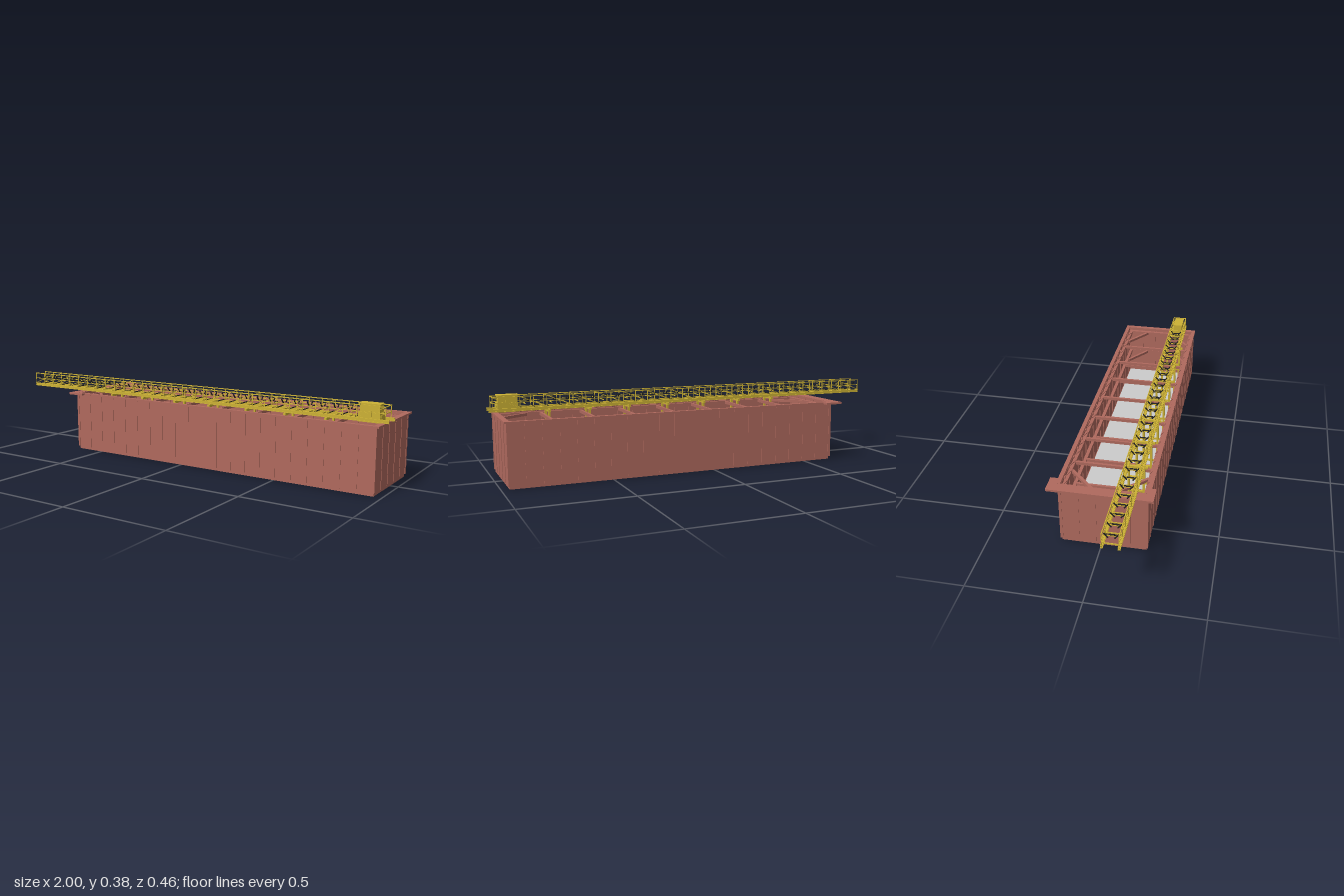
import * as THREE from 'three';

const steel = new THREE.MeshStandardMaterial({ color: 0xb06a5e });
const yellow = new THREE.MeshStandardMaterial({ color: 0xcdb235 });
const black = new THREE.MeshStandardMaterial({ color: 0x222222 });
const grey = new THREE.MeshStandardMaterial({ color: 0xcccccc });

// Box given by its limits on each axis
function box(parent, name, mat, x0, x1, y0, y1, z0, z1) {
  const m = new THREE.Mesh(new THREE.BoxGeometry(x1 - x0, y1 - y0, z1 - z0), mat);
  m.position.set((x0 + x1) / 2, (y0 + y1) / 2, (z0 + z1) / 2);
  m.name = name;
  parent.add(m);
  return m;
}

// Square bar between two points
function bar(parent, name, mat, a, b, w, h = w) {
  const p = new THREE.Vector3(...a), q = new THREE.Vector3(...b);
  const m = new THREE.Mesh(new THREE.BoxGeometry(w, h, p.distanceTo(q)), mat);
  m.position.copy(p).add(q).multiplyScalar(0.5);
  m.lookAt(q);
  m.name = name;
  parent.add(m);
  return m;
}

// Round rod between two points
function rod(parent, name, mat, a, b, r) {
  const p = new THREE.Vector3(...a), q = new THREE.Vector3(...b);
  const d = q.clone().sub(p);
  const m = new THREE.Mesh(new THREE.CylinderGeometry(r, r, d.length(), 8), mat);
  m.position.copy(p).add(q).multiplyScalar(0.5);
  m.quaternion.setFromUnitVectors(new THREE.Vector3(0, 1, 0), d.normalize());
  m.name = name;
  parent.add(m);
}

const X0 = -0.65, X1 = 0.97, Z0 = -0.185, Z1 = 0.205;   // outer wall faces
const strutX = [-0.43, -0.235, -0.04, 0.155, 0.355, 0.55, 0.745];

function buildPit() {
  const g = new THREE.Group();
  g.name = 'pit';
  box(g, 'baseSlab', steel, X0 + 0.006, X1 - 0.006, 0, 0.014, Z0 + 0.007, Z1 - 0.007);
  box(g, 'floor', grey, X0 + 0.012, X1 - 0.012, 0.014, 0.017, Z0 + 0.012, Z1 - 0.012);

  // Sheet walls with narrow vertical ribs
  const t = 0.008, e = 0.002, y0 = 0.014, y1 = 0.288;
  box(g, 'frontWall', steel, X0 + e, X1 - e, y0, y1, Z1 - t, Z1 - e);
  box(g, 'backWall', steel, X0 + e, X1 - e, y0, y1, Z0 + e, Z0 + t);
  box(g, 'rightWall', steel, X0 + e, X0 + t, y0, y1, Z0 + e, Z1 - e);
  box(g, 'leftWall', steel, X1 - t, X1 - e, y0, y1, Z0 + e, Z1 - e);
  const n = 21, w = 0.013;
  for (let i = 0; i <= n; i++) {
    const x = X0 + (X1 - X0 - w) * i / n;
    box(g, 'frontRib', steel, x, x + w, y0, y1, Z1 - t - 0.004, Z1);
    box(g, 'backRib', steel, x, x + w, y0, y1, Z0, Z0 + t + 0.004);
  }
  for (let i = 0; i <= 5; i++) {
    const z = Z0 + (Z1 - Z0 - w) * i / 5;
    box(g, 'rightRib', steel, X0, X0 + t + 0.004, y0, y1, z, z + w);
    box(g, 'leftRib', steel, X1 - t - 0.004, X1, y0, y1, z, z + w);
  }

  // Top rim made as one ring, wider plate at the right end
  const rim = new THREE.Shape();
  rim.moveTo(-0.65, -0.197); rim.lineTo(0.98, -0.197);
  rim.lineTo(0.98, 0.211); rim.lineTo(-0.65, 0.211); rim.closePath();
  const hole = new THREE.Path();
  hole.moveTo(-0.63, -0.178); hole.lineTo(-0.63, 0.192);
  hole.lineTo(0.955, 0.192); hole.lineTo(0.955, -0.178); hole.closePath();
  rim.holes.push(hole);
  const ring = new THREE.Mesh(new THREE.ExtrudeGeometry(rim, { depth: 0.008, bevelEnabled: false }), steel);
  ring.rotation.x = Math.PI / 2;
  ring.position.y = 0.296;
  ring.name = 'rim';
  g.add(ring);
  box(g, 'endPlate', steel, -0.682, -0.64, 0.287, 0.2965, -0.23, 0.23);
  for (const s of [-1, 1])
    box(g, 'endPlateTab', steel, -0.682, -0.595, 0.287, 0.2965, s > 0 ? 0.2 : -0.23, s > 0 ? 0.23 : -0.19);

  // Two levels of walers, struts and corner braces
  for (const y of [0.14, 0.26]) {
    const h = 0.018, a = X0 + 0.01, b = X1 - 0.01;
    const zi = Z0 + 0.026, zo = Z1 - 0.026;
    box(g, 'frontWaler', steel, a, b, y, y + h, zo, Z1 - 0.01);
    box(g, 'backWaler', steel, a, b, y, y + h, Z0 + 0.01, zi);
    box(g, 'rightWaler', steel, a, a + 0.017, y, y + h, zi, zo);
    box(g, 'leftWaler', steel, b - 0.017, b, y, y + h, zi, zo);
    for (const x of strutX) box(g, 'strut', steel, x - 0.006, x + 0.006, y + 0.002, y + h - 0.002, zi, zo);
    const ym = y + h / 2;
    for (const z of [zi, zo]) {
      const s = z === zi ? 1 : -1;
      bar(g, 'cornerBrace', steel, [a + 0.014, ym, z + s * 0.13], [a + 0.144, ym, z], 0.013);
      bar(g, 'cornerBrace', steel, [b - 0.014, ym, z + s * 0.09], [b - 0.144, ym, z], 0.013);
    }
  }

  // Zigzag lacing beneath the rim
  for (let i = 0; i < 40; i++) {
    const x = X0 + 0.02 + i * 0.0395, k = i % 2;
    for (const z of [Z0 + 0.018, Z1 - 0.018])
      bar(g, 'lacing', steel, [x, 0.282, z + (k ? 0.007 : -0.007)], [x + 0.0395, 0.282, z + (k ? -0.007 : 0.007)], 0.003);
  }
  return g;
}

function buildConveyor() {
  const g = new THREE.Group();
  g.name = 'conveyor';
  const zs = [0.083, 0.151], a = -1, b = 0.985;
  for (const z of zs) {
    // Channel beam below, handrails above
    const s = z > 0.117 ? 1 : -1;
    box(g, 'sideBeam', yellow, a, 1, 0.3, 0.303, z - 0.005, z + 0.005);
    box(g, 'sideBeam', yellow, a, 1, 0.311, 0.314, z - 0.005, z + 0.005);
    box(g, 'sideBeamWeb', yellow, a, 1, 0.3, 0.314, z - 0.0015, z + 0.0015);
    box(g, 'topRail', yellow, a, b, 0.365, 0.369, z - 0.002, z + 0.002);
    box(g, 'midRail', yellow, a, b, 0.339, 0.342, z - 0.0015, z + 0.0015);
    const n = 32, dx = (b - a - 0.004) / n;
    for (let i = 0; i <= n; i++) {
      const x = a + 0.002 + i * dx;
      box(g, 'railPost', yellow, x - 0.0015, x + 0.0015, 0.312, 0.367, z - 0.0015, z + 0.0015);
      if (i < n && i % 2 === 0) {
        bar(g, 'railBrace', yellow, [x, 0.315, z], [x + dx, 0.34, z], 0.0025);
        bar(g, 'railBrace', yellow, [x + dx, 0.34, z], [x + 2 * dx, 0.366, z], 0.0025);
      }
      // Tilted side roller
      if (x < 0.85)
        rod(g, 'sideRoller', black, [x + 0.02, 0.338, z - s * 0.021], [x + 0.02, 0.357, z - s * 0.005], 0.003);
    }
  }
  // Cross members and centre rollers
  for (let x = -0.978; x < 0.85; x += 0.0618) {
    box(g, 'crossMember', yellow, x - 0.002, x + 0.002, 0.306, 0.311, zs[0], zs[1]);
    box(g, 'rollerSeat', yellow, x + 0.018, x + 0.022, 0.33, 0.333, zs[0], zs[1]);
    rod(g, 'centreRoller', black, [x + 0.02, 0.337, 0.102], [x + 0.02, 0.337, 0.132], 0.003);
    rod(g, 'returnRoller', black, [x + 0.04, 0.318, 0.086], [x + 0.04, 0.318, 0.148], 0.0025);
  }
  // End bars of the handrails
  for (const y of [0.34, 0.367]) box(g, 'endRail', yellow, b - 0.004, b, y - 0.0015, y + 0.0015, zs[0], zs[1]);

  // Drive housing with a raised cover and a front panel
  box(g, 'driveBase', yellow, 0.865, 0.96, 0.297, 0.338, 0.088, 0.15);
  box(g, 'driveCover', yellow, 0.87, 0.955, 0.338, 0.372, 0.096, 0.142);
  box(g, 'driveCap', yellow, 0.862, 0.96, 0.371, 0.375, 0.094, 0.144);
  box(g, 'drivePanel', yellow, 0.96, 0.964, 0.318, 0.33, 0.094, 0.144);

  // Support frames standing on the floor
  for (const sx of strutX) {
    const x = sx - 0.018;
    for (const z of [0.083, 0.151]) {
      box(g, 'supportLeg', yellow, x - 0.005, x + 0.005, 0.017, 0.3, z - 0.005, z + 0.005);
      box(g, 'supportFoot', yellow, x - 0.009, x + 0.009, 0.017, 0.021, z - 0.009, z + 0.009);
    }
    box(g, 'supportHead', yellow, x - 0.006, x + 0.006, 0.29, 0.3, 0.066, 0.168);
    for (const y of [0.06, 0.16, 0.235])
      box(g, 'supportTie', yellow, x - 0.004, x + 0.004, y, y + 0.008, 0.083, 0.151);
  }
  return g;
}

export function createModel() {
  const model = new THREE.Group();
  model.name = 'shoredPitWithConveyor';
  model.add(buildPit(), buildConveyor());
  return model;
}
